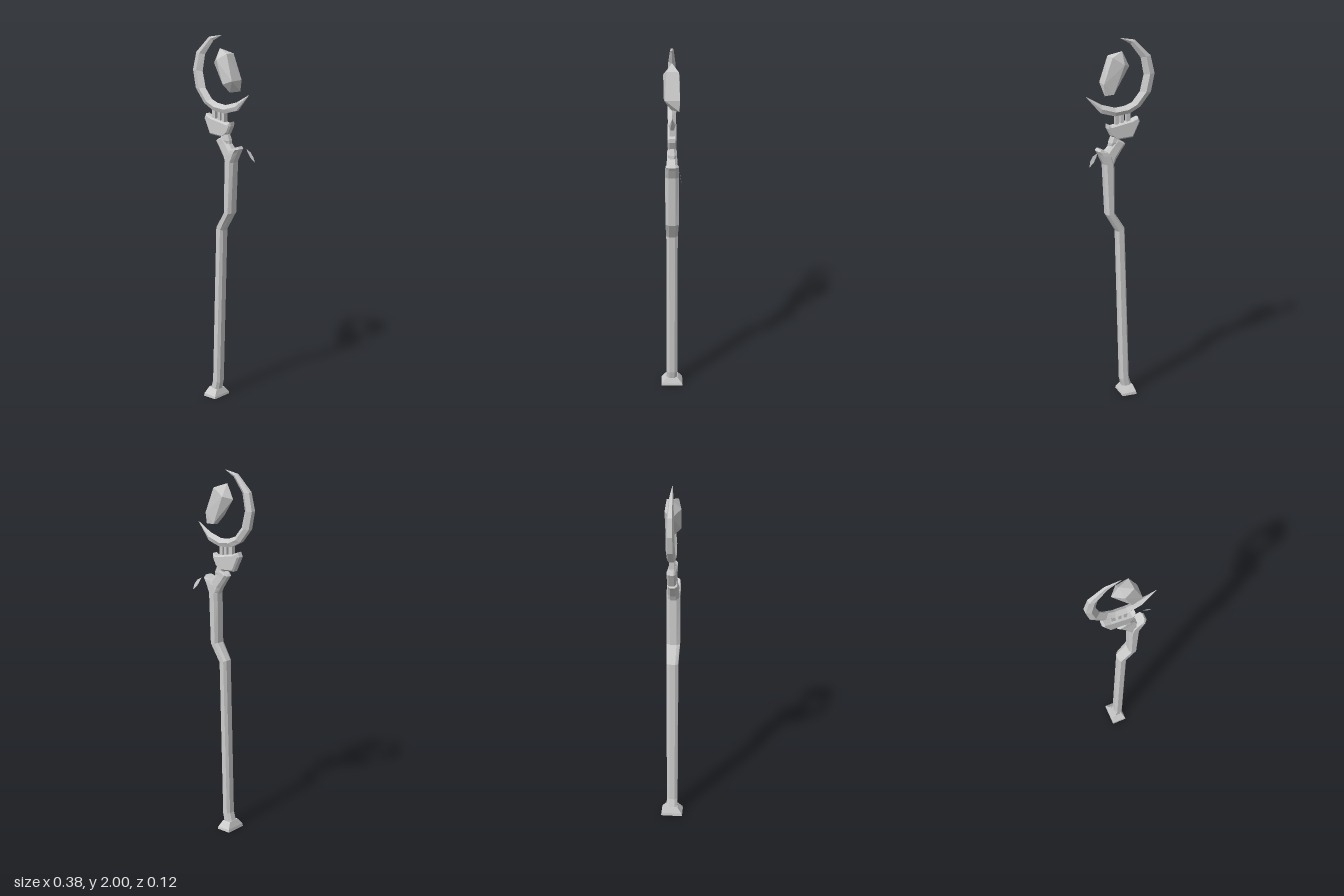
import * as THREE from 'three';
import { ConvexGeometry } from 'three/addons/geometries/ConvexGeometry.js';

const material = new THREE.MeshStandardMaterial({ color: 0xcccccc, flatShading: true, side: THREE.DoubleSide });

// Cross-section of a bevelled bar: [position from left edge to right edge, z share]
const BAR = [[0, 0.5], [0.22, 1], [0.78, 1], [1, 0.5], [1, -0.5], [0.78, -1], [0.22, -1], [0, -0.5]];
// Blade: sharp inner edge, ridge along the middle, narrow flat outer edge
const BLADE = [[0, 0], [0.5, 1], [1, 0.6], [1, -0.6], [0.5, -1]];

// Skins stations [leftX, leftY, rightX, rightY, halfDepth] with a section, closing both ends
function loft(stations, section) {
  const rings = stations.map(([lx, ly, rx, ry, d]) =>
    section.map(([t, z]) => [lx + (rx - lx) * t, ly + (ry - ly) * t, z * d]));
  const pos = [];
  const tri = (...corners) => corners.forEach((c) => pos.push(...c));
  const n = section.length;
  for (let i = 0; i < rings.length - 1; i++) {
    for (let j = 0; j < n; j++) {
      const k = (j + 1) % n;
      const [a, b, c, d] = [rings[i][j], rings[i][k], rings[i + 1][k], rings[i + 1][j]];
      tri(a, b, c);
      tri(a, c, d);
    }
  }
  const first = rings[0], last = rings[rings.length - 1];
  for (let j = 1; j < n - 1; j++) {
    tri(first[0], first[j + 1], first[j]);
    tri(last[0], last[j], last[j + 1]);
  }
  const g = new THREE.BufferGeometry();
  g.setAttribute('position', new THREE.Float32BufferAttribute(pos, 3));
  g.computeVertexNormals();
  return g;
}

export function createModel() {
  const group = new THREE.Group();
  const add = (name, geometry) => {
    const mesh = new THREE.Mesh(geometry, material);
    mesh.name = name;
    group.add(mesh);
    return mesh;
  };

  // Flared square foot
  const square = [[0, 1], [1, 1], [1, -1], [0, -1]];
  add('foot', loft([
    [-0.08, 0, 0.002, 0, 0.06],
    [-0.078, 0.016, 0, 0.012, 0.058],
    [-0.066, 0.05, -0.012, 0.045, 0.032],
  ], square));

  // Crooked shaft, ending in a flared stump
  add('shaft', loft([
    [-0.066, 0.04, -0.012, 0.04, 0.03],
    [-0.05, 0.095, -0.002, 0.085, 0.03],
    [-0.024, 0.975, 0.022, 0.96, 0.031],
    [0.034, 1.065, 0.08, 1.06, 0.036],
    [0.036, 1.34, 0.094, 1.34, 0.036],
    [0.045, 1.38, 0.12, 1.395, 0.036],
    [0.07, 1.405, 0.132, 1.415, 0.034],
    [0.085, 1.41, 0.122, 1.428, 0.03],
  ], BAR));

  // Branch leaning back towards the cup
  add('branch', loft([
    [0.036, 1.335, 0.09, 1.36, 0.032],
    [0.022, 1.365, 0.085, 1.405, 0.03],
    [-0.012, 1.415, 0.048, 1.447, 0.026],
    [-0.03, 1.44, 0.03, 1.468, 0.026],
    [-0.02, 1.45, 0.028, 1.475, 0.022],
  ], BAR));
  add('neck', loft([
    [0.0, 1.435, 0.062, 1.435, 0.02],
    [0.005, 1.452, 0.06, 1.452, 0.024],
    [-0.005, 1.49, 0.045, 1.49, 0.02],
  ], BAR));

  // Flat cup with raised corners
  const outline = [[-0.108, 1.555], [-0.07, 1.475], [0.02, 1.468], [0.05, 1.49], [0.07, 1.53],
    [0.07, 1.55], [0.05, 1.54], [-0.062, 1.562], [-0.098, 1.578]];
  const cup = new THREE.ExtrudeGeometry(
    new THREE.Shape(outline.map(([x, y]) => new THREE.Vector2(x, y))),
    { depth: 0.028, bevelThickness: 0.009, bevelSize: 0.008, bevelOffset: -0.006, bevelSegments: 1 });
  cup.translate(0, 0, -0.014);
  add('cup', cup);

  // Short posts carrying the crescent
  for (const [x, w] of [[-0.047, 0.022], [-0.012, 0.016], [0.017, 0.018]]) {
    add('post', new THREE.BoxGeometry(w, 0.075, 0.026)).position.set(x, 1.577, 0);
  }

  // Crescent blade, inner edge to outer edge at each station
  add('crescent', loft([
    [0, 2, 0, 2, 0.001],
    [-0.06, 1.966, -0.085, 1.985, 0.01],
    [-0.118, 1.89, -0.17, 1.9, 0.018],
    [-0.135, 1.8, -0.192, 1.805, 0.022],
    [-0.114, 1.712, -0.172, 1.708, 0.023],
    [-0.07, 1.658, -0.113, 1.634, 0.023],
    [-0.03, 1.642, -0.055, 1.602, 0.022],
    [0.025, 1.636, 0.025, 1.592, 0.021],
    [0.1, 1.658, 0.105, 1.614, 0.016],
    [0.187, 1.707, 0.187, 1.707, 0.001],
  ], BLADE));

  // Floating faceted crystal
  const facets = [[-0.015, 1.93, 0], [-0.055, 1.85, 0], [0, 1.875, 0.045], [0.055, 1.908, 0.028],
    [0.05, 1.905, -0.034], [-0.015, 1.865, -0.04], [0.024, 1.74, 0], [0.04, 1.75, 0.042],
    [0.098, 1.77, 0.036], [0.1, 1.77, -0.04], [0.045, 1.715, -0.04], [0.095, 1.71, -0.036], [0.058, 1.705, 0.005]];
  add('crystal', new ConvexGeometry(facets.map((p) => new THREE.Vector3(...p))));

  // Thin hanging leaf beside the stump
  const leafShape = new THREE.Shape([[0, 0], [0.028, -0.016], [0.044, -0.042], [0.05, -0.072], [0.025, -0.05], [0.01, -0.025]]
    .map(([x, y]) => new THREE.Vector2(x, y)));
  const leaf = add('leaf', new THREE.ShapeGeometry(leafShape));
  leaf.position.set(0.136, 1.412, -0.036);
  leaf.rotation.x = 0.18;

  return group;
}
